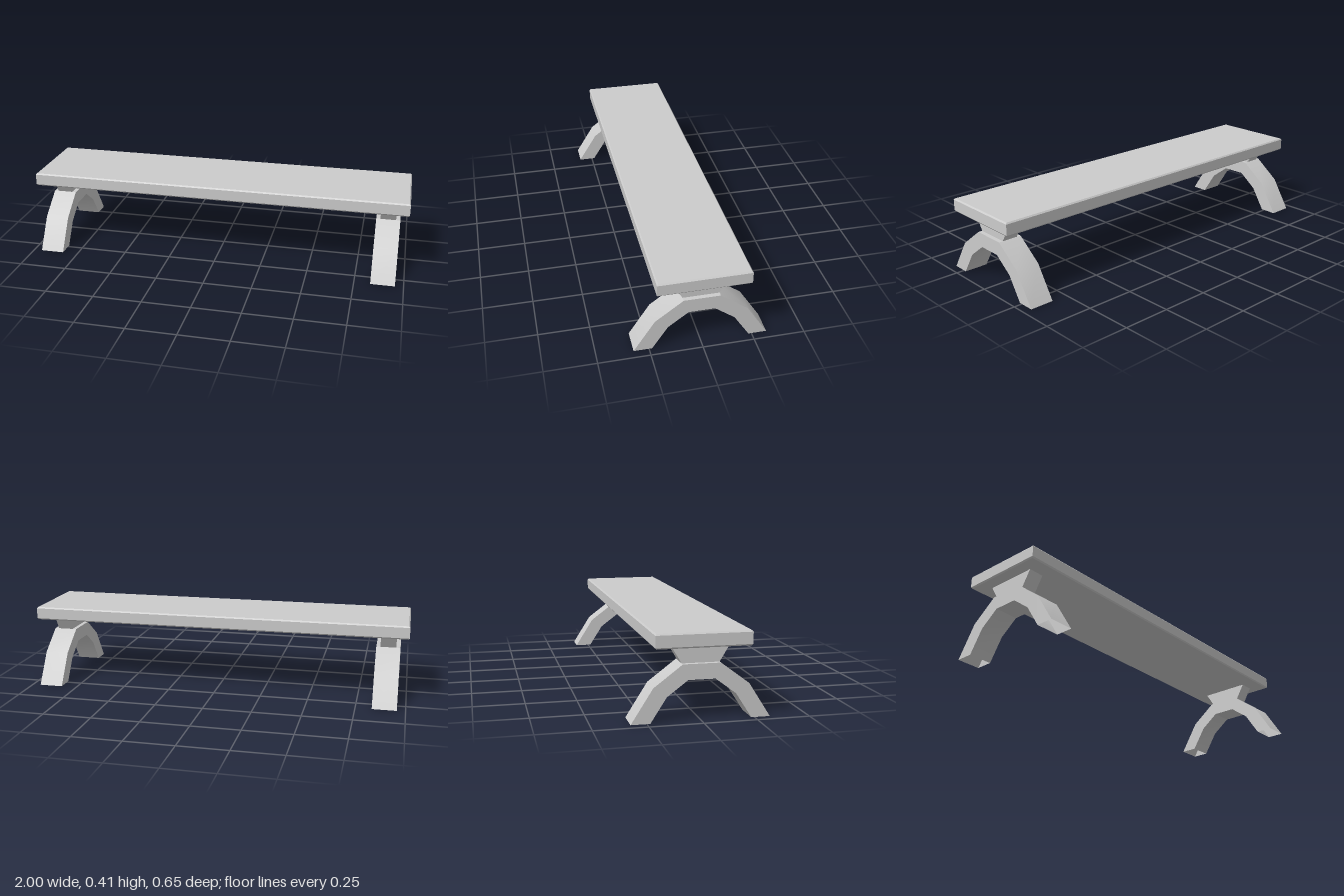
import * as THREE from 'three';
import { toCreasedNormals } from 'three/addons/utils/BufferGeometryUtils.js';

const material = new THREE.MeshStandardMaterial({ color: 0xcccccc });
const openMaterial = new THREE.MeshStandardMaterial({ color: 0xcccccc, side: THREE.DoubleSide });

function makeMesh(name, geometry, mat = material) {
  const mesh = new THREE.Mesh(geometry, mat);
  mesh.name = name;
  return mesh;
}

// Plank with a small chamfer on its upper and lower edges
function seatGeometry() {
  const hx = 1, hz = 0.222, y0 = 0.342, y1 = 0.411, bevel = 0.006, rise = 0.007;
  const x = hx - bevel, z = hz - bevel;
  const shape = new THREE.Shape([[-x, -z], [x, -z], [x, z], [-x, z]].map(p => new THREE.Vector2(...p)));
  const geometry = new THREE.ExtrudeGeometry(shape, {
    depth: y1 - y0 - 2 * rise, bevelEnabled: true, bevelSegments: 1, bevelSize: bevel, bevelThickness: rise,
  });
  return geometry.rotateX(-Math.PI / 2).translate(0, y0 + rise, 0);
}

// Arched tube of rectangular section, open at the floor ends
function archGeometry(width) {
  const half = [ // outer z, outer y, inner z, inner y
    [0.324, 0, 0.235, 0],
    [0.222, 0.161, 0.16, 0.117],
    [0.088, 0.262, 0.063, 0.19],
  ];
  const stations = [...half, ...half.slice().reverse().map(([a, b, c, d]) => [-a, b, -c, d])];
  const w = width / 2, positions = [], index = [];
  for (const [oz, oy, iz, iy] of stations) {
    positions.push(-w, oy, oz, w, oy, oz, w, iy, iz, -w, iy, iz);
  }
  for (let s = 0; s < stations.length - 1; s++) {
    for (let k = 0; k < 4; k++) {
      const a = s * 4 + k, b = s * 4 + (k + 1) % 4;
      index.push(a, b, b + 4, a, b + 4, a + 4);
    }
  }
  const geometry = new THREE.BufferGeometry();
  geometry.setAttribute('position', new THREE.Float32BufferAttribute(positions, 3));
  geometry.setIndex(index);
  return toCreasedNormals(geometry, Math.PI / 6);
}

// Block that widens toward the seat
function bracketGeometry() {
  const geometry = new THREE.BoxGeometry(0.08, 0.08, 2).translate(0, 0.302, 0);
  const p = geometry.attributes.position;
  for (let i = 0; i < p.count; i++) {
    p.setZ(i, p.getZ(i) * (p.getY(i) > 0.302 ? 0.136 : 0.088));
  }
  geometry.computeVertexNormals();
  return geometry;
}

export function createModel() {
  const model = new THREE.Group();
  model.name = 'bench';
  model.add(makeMesh('seat', seatGeometry()));

  // One support at each end
  for (const [side, name] of [[1, 'leftSupport'], [-1, 'rightSupport']]) {
    const support = new THREE.Group();
    support.name = name;
    support.position.x = side * 0.895;
    support.add(makeMesh('archedLegs', archGeometry(0.124), openMaterial));
    support.add(makeMesh('seatBracket', bracketGeometry()));
    model.add(support);
  }
  return model;
}
